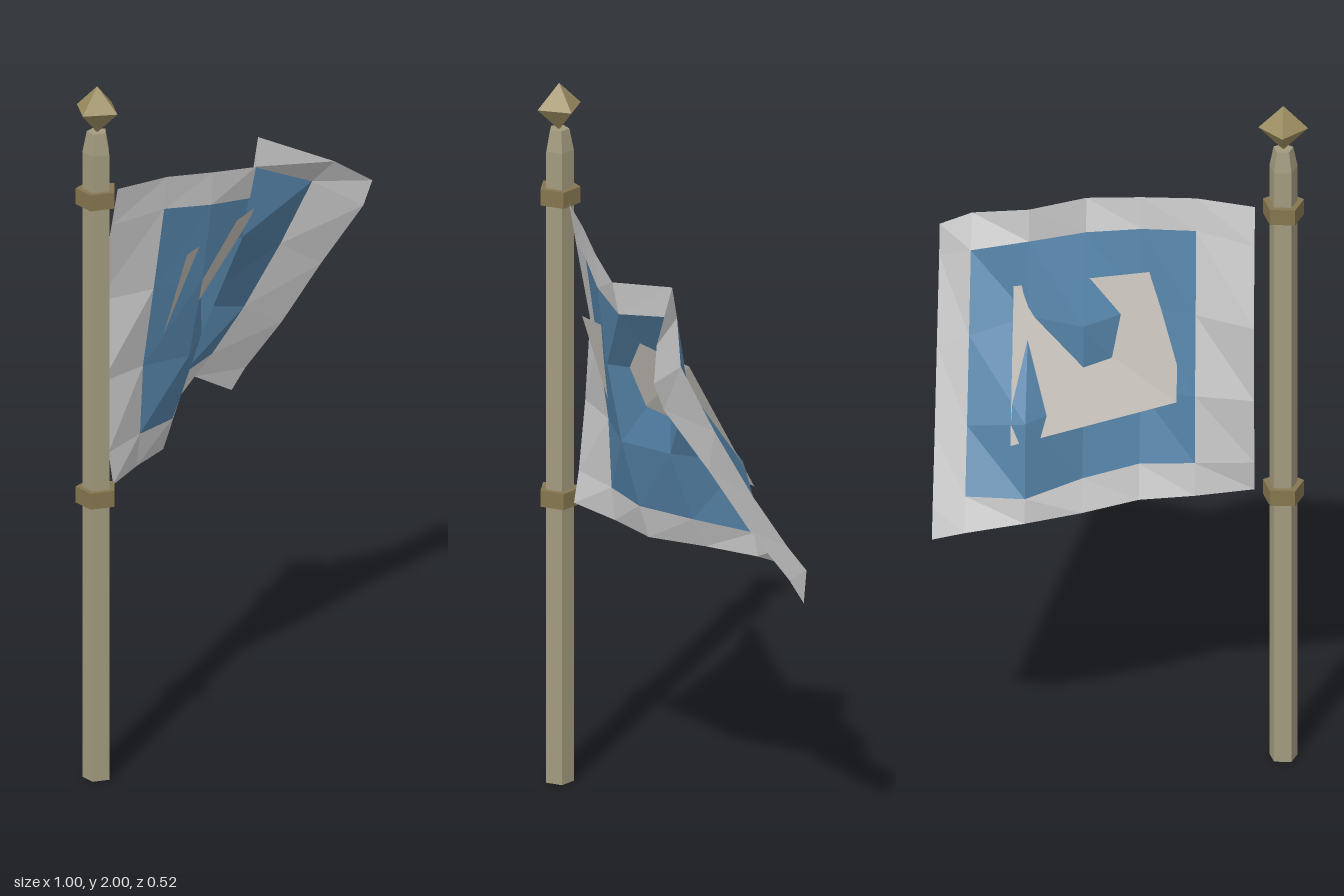
import * as THREE from 'three';

const material = (color) =>
  new THREE.MeshStandardMaterial({ color, flatShading: true, side: THREE.DoubleSide });

// Cloth columns from the pole outwards: x, then [y, z] from top to bottom
const columns = [
  { x: -0.36, p: [[1.68, 0.03], [1.57, 0.01], [1.34, -0.035], [1.11, -0.02], [0.91, 0.0], [0.82, 0.015]] },
  { x: -0.2, p: [[1.675, 0.08], [1.58, 0.07], [1.34, 0.035], [1.11, 0.0], [0.91, -0.01], [0.815, -0.02]] },
  { x: -0.05, p: [[1.65, 0.125], [1.555, 0.12], [1.33, 0.09], [1.1, 0.045], [0.905, -0.01], [0.81, -0.04]] },
  { x: 0.1, p: [[1.625, 0.16], [1.53, 0.14], [1.33, -0.025], [1.1, -0.02], [0.9, -0.09], [0.815, -0.13]] },
  { x: 0.25, p: [[1.64, 0.06], [1.55, 0.045], [1.34, 0.01], [1.1, -0.16], [0.89, -0.195], [0.82, -0.205]] },
  { x: 0.41, p: [[1.55, 0.2], [1.475, 0.125], [1.27, 0.02], [1.06, -0.1], [0.9, -0.205], [0.82, -0.265]] },
  { x: 0.5, p: [[1.48, 0.26], [1.4, 0.23], [1.2, 0.09], [1.0, -0.04], [0.84, -0.16], [0.765, -0.205]] },
];

// Collects the cloth cells that pass the test into one faceted surface
function clothGeometry(test) {
  const pos = [];
  const at = (i, j) => [columns[i].x, ...columns[i].p[j]];
  for (let i = 0; i < columns.length - 1; i++) {
    for (let j = 0; j < 5; j++) {
      if (!test(i, j)) continue;
      const tl = at(i, j), tr = at(i + 1, j), bl = at(i, j + 1), br = at(i + 1, j + 1);
      pos.push(...tl, ...bl, ...tr, ...bl, ...br, ...tr);
    }
  }
  return surface(pos);
}

function surface(pos) {
  const g = new THREE.BufferGeometry();
  g.setAttribute('position', new THREE.Float32BufferAttribute(pos, 3));
  g.computeVertexNormals();
  return g;
}

export function createModel() {
  const model = new THREE.Group();
  const add = (parent, name, geometry, mat, y = 0) => {
    const mesh = new THREE.Mesh(geometry, mat);
    mesh.name = name;
    mesh.position.y = y;
    parent.add(mesh);
  };

  // Five-sided pole with tapered tip, rings and finial
  const pole = new THREE.Group();
  pole.name = 'flagpole';
  pole.position.set(-0.437, 0, 0.017);
  const wood = material(0xa39b7f), brass = material(0x857650);
  add(pole, 'shaft', new THREE.CylinderGeometry(0.04, 0.04, 1.81, 5), wood, 0.905);
  add(pole, 'taperedTip', new THREE.CylinderGeometry(0.028, 0.04, 0.06, 5), wood, 1.84);
  for (const y of [0.818, 1.682]) {
    add(pole, 'ring', new THREE.CylinderGeometry(0.058, 0.058, 0.046, 5), brass, y);
  }
  add(pole, 'finial', new THREE.OctahedronGeometry(0.067), material(0x9c8d62), 1.933);
  model.add(pole);

  // Waving cloth: blue field inside a grey border
  const flag = new THREE.Group();
  flag.name = 'flag';
  const isField = (i, j) => i > 0 && i < 5 && j > 0 && j < 4;
  add(flag, 'blueField', clothGeometry(isField), material(0x5583a8));
  add(flag, 'greyBorder', clothGeometry((i, j) => !isField(i, j)), material(0xcccccc));

  // Flat panel that cuts through the folds of the cloth
  const tl = [-0.15, 1.44, 0.11], tr = [0.29, 1.42, 0.03];
  const bl = [-0.15, 1.09, 0.0], br = [0.29, 1.04, -0.172];
  add(flag, 'centrePanel', surface([...tl, ...bl, ...tr, ...bl, ...br, ...tr]), material(0xc4c0b8));
  model.add(flag);

  return model;
}
